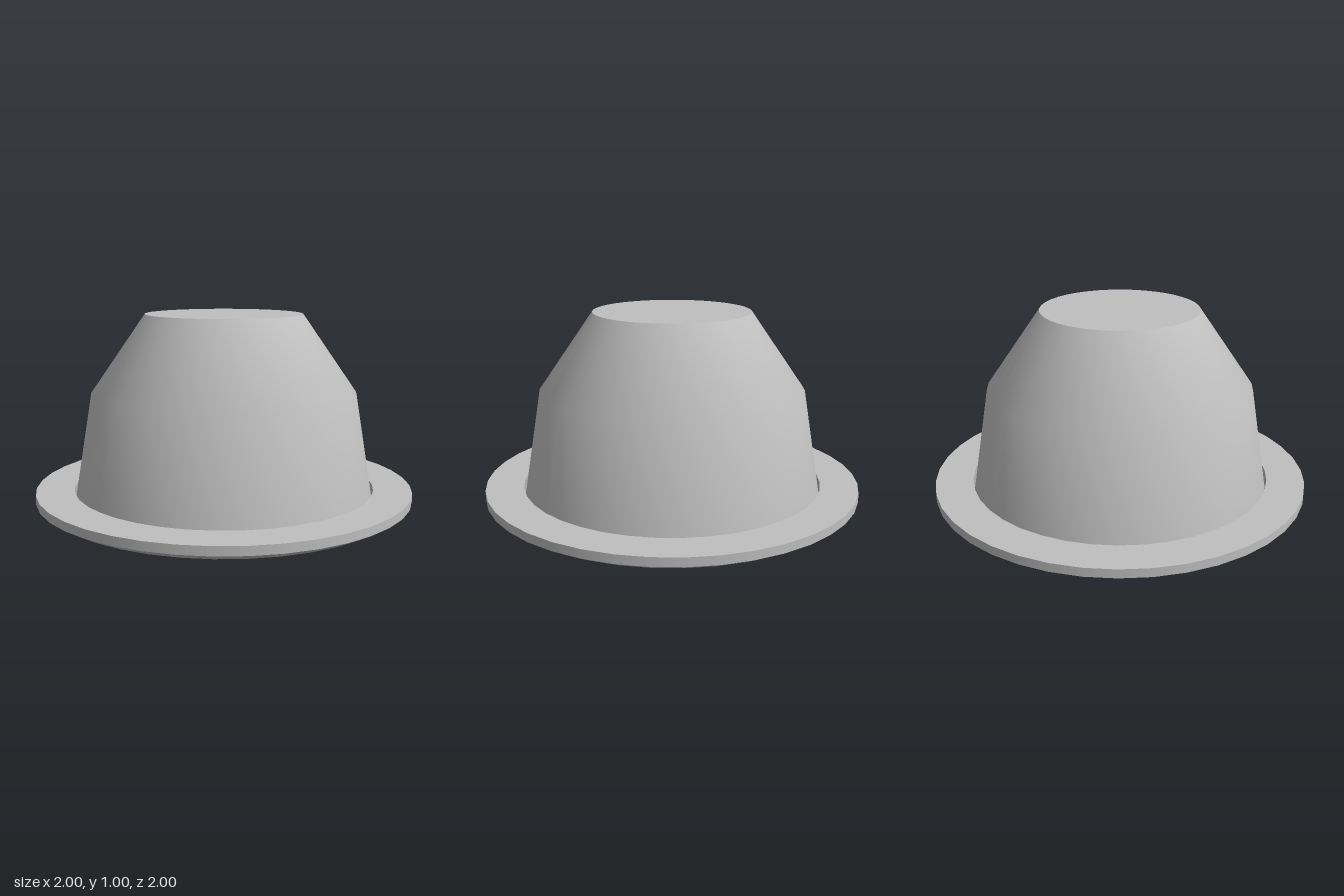
import * as THREE from 'three';

const SIDES = 40;

export function createModel() {
  const group = new THREE.Group();
  const grey = new THREE.MeshStandardMaterial({ color: 0xbfbfbf, side: THREE.DoubleSide });
  grey.name = 'plain grey';

  // Turned surface, smooth along its own profile; separate bands meet in sharp edges
  const turn = (name, parent, profile) => {
    const points = profile.map(([r, y]) => new THREE.Vector2(r, y));
    const mesh = new THREE.Mesh(new THREE.LatheGeometry(points, SIDES), grey);
    mesh.name = name;
    parent.add(mesh);
  };

  // Hollow cup, open at the bottom
  const cup = new THREE.Group();
  cup.name = 'cup';
  turn('cupWall', cup, [[0.8, 0], [0.7, 0.59], [0.415, 1]]);
  turn('cupTop', cup, [[0.415, 1], [0, 1]]);

  // Flat ring around the base, bevelled underneath
  const rim = new THREE.Group();
  rim.name = 'rim';
  turn('rimUnderside', rim, [[0.8, 0], [0.935, 0], [1, 0.037]]);
  turn('rimEdge', rim, [[1, 0.037], [1, 0.083]]);
  turn('rimTop', rim, [[1, 0.083], [0.8, 0.083]]);
  turn('rimInside', rim, [[0.8, 0.083], [0.8, 0]]);

  group.add(cup, rim);
  return group;
}
